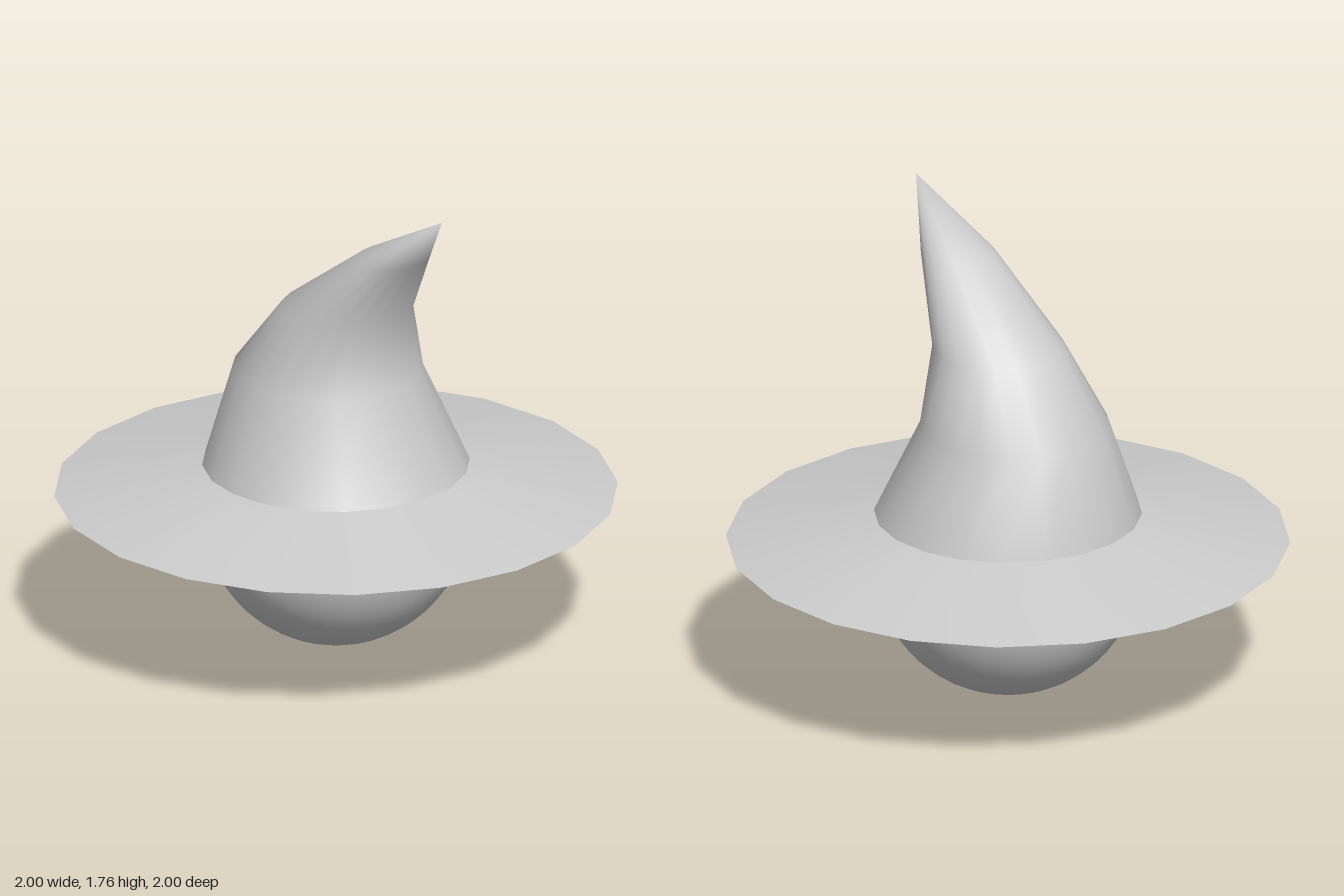
import * as THREE from 'three';
import { mergeVertices } from 'three/addons/utils/BufferGeometryUtils.js';

const SIDES = 20;
const HEAD_RADIUS = 0.475;
const BRIM_TOP = 0.665;
const BRIM_EDGE = 0.56;

// Bent cone: rings from tip to base as [centre x, height, radius x, radius z]
const RINGS = [
  [0.585, 1.76, 0, 0],
  [0.32, 1.55, 0.122, 0.135],
  [0.06, 1.28, 0.235, 0.235],
  [-0.045, 1.02, 0.34, 0.335],
  [0, BRIM_TOP, HEAD_RADIUS, HEAD_RADIUS],
];

function bentConeGeometry() {
  const rows = RINGS.length - 1;
  let geometry = new THREE.CylinderGeometry(1, 1, 1, SIDES, rows, true);
  const p = geometry.attributes.position;
  for (let i = 0; i < p.count; i++) {
    const [cx, y, rx, rz] = RINGS[Math.round((0.5 - p.getY(i)) * rows)];
    p.setXYZ(i, cx + p.getX(i) * rx, y, p.getZ(i) * rz);
  }
  // Weld the seam and tip so the shading runs smoothly around the cone
  geometry.deleteAttribute('normal');
  geometry.deleteAttribute('uv');
  geometry = mergeVertices(geometry, 1e-4);
  geometry.computeVertexNormals();
  return geometry;
}

export function createModel() {
  const group = new THREE.Group();
  const solid = new THREE.MeshStandardMaterial({ color: 0xcccccc });
  const thin = new THREE.MeshStandardMaterial({ color: 0xcccccc, side: THREE.DoubleSide });

  const add = (name, geometry, material, y = 0) => {
    const mesh = new THREE.Mesh(geometry, material);
    mesh.name = name;
    mesh.position.y = y;
    group.add(mesh);
  };

  // Round head tucked under the hat
  add('head', new THREE.SphereGeometry(HEAD_RADIUS, 40, 28), solid, HEAD_RADIUS);

  // Sloping brim, open in the middle
  const brim = new THREE.CylinderGeometry(HEAD_RADIUS, 1, BRIM_TOP - BRIM_EDGE, SIDES, 1, true);
  add('hatBrim', brim, thin, (BRIM_TOP + BRIM_EDGE) / 2);

  // Pointed crown bending to the left
  add('hatCrown', bentConeGeometry(), thin);

  return group;
}
